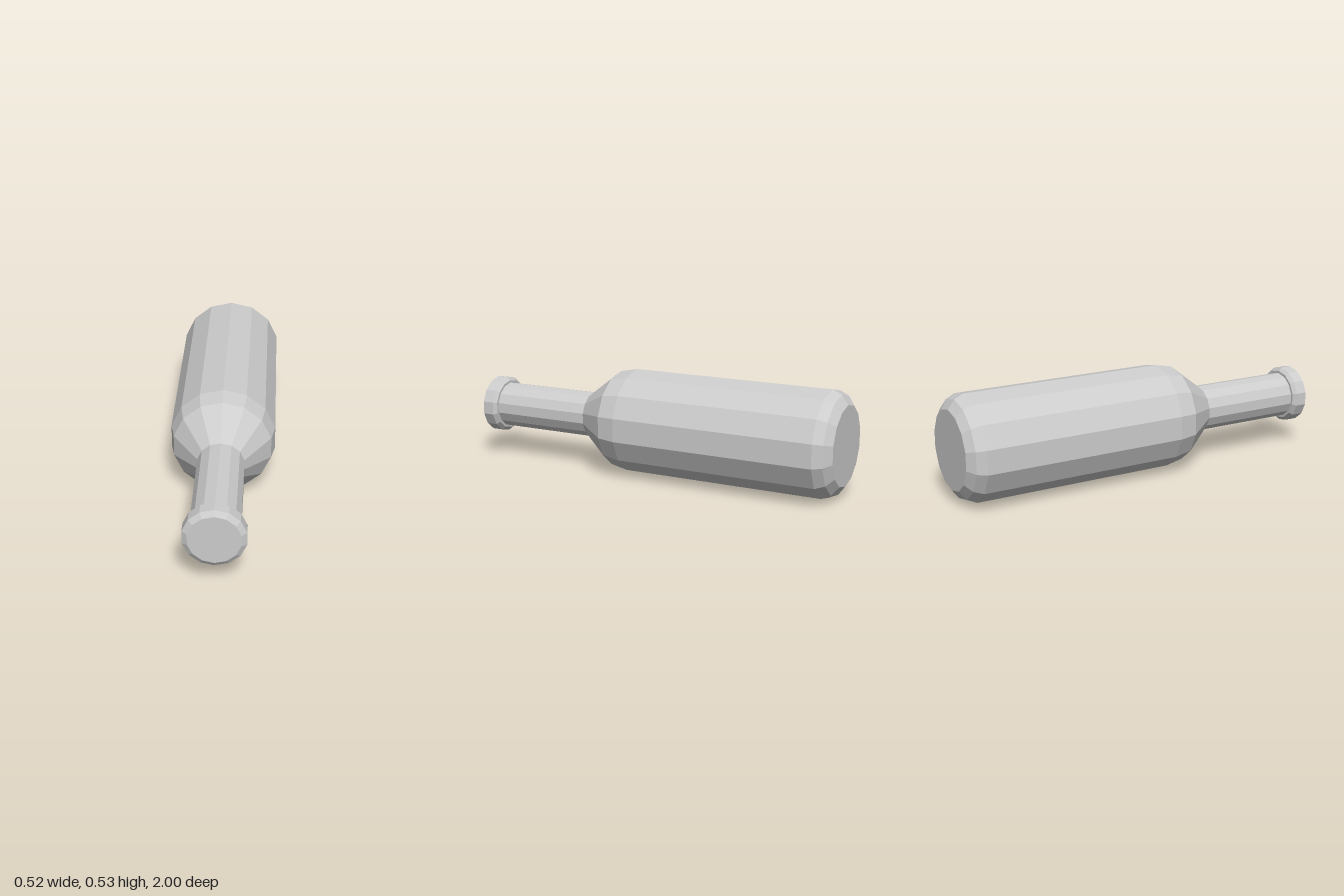
import * as THREE from 'three';

const SIDES = 14;
const AXIS_HEIGHT = 0.265;

export function createModel() {
  const group = new THREE.Group();
  group.name = 'bottle';
  const grey = new THREE.MeshStandardMaterial({ color: 0xcccccc });
  grey.name = 'grey';

  // Faceted turned part; profile is [radius, z] from back to front
  function turned(name, profile) {
    const points = profile.map(([r, z]) => new THREE.Vector2(r, z));
    const geometry = new THREE.LatheGeometry(points, SIDES).rotateX(Math.PI / 2).toNonIndexed();
    geometry.computeVertexNormals(); // one normal per facet
    const mesh = new THREE.Mesh(geometry, grey);
    mesh.name = name;
    mesh.position.y = AXIS_HEIGHT;
    group.add(mesh);
  }

  // Body with a rounded base and a sloping shoulder
  turned('body', [
    [0, -1], [0.198, -1], [0.243, -0.967], [0.265, -0.92],
    [0.265, 0.12], [0.246, 0.215], [0.117, 0.38],
  ]);

  // Straight neck
  turned('neck', [[0.117, 0.38], [0.117, 0.91]]);

  // Chamfered lip with closed mouth
  turned('lip', [
    [0.117, 0.908], [0.13, 0.908], [0.147, 0.925],
    [0.147, 0.983], [0.122, 1], [0, 1],
  ]);

  return group;
}
